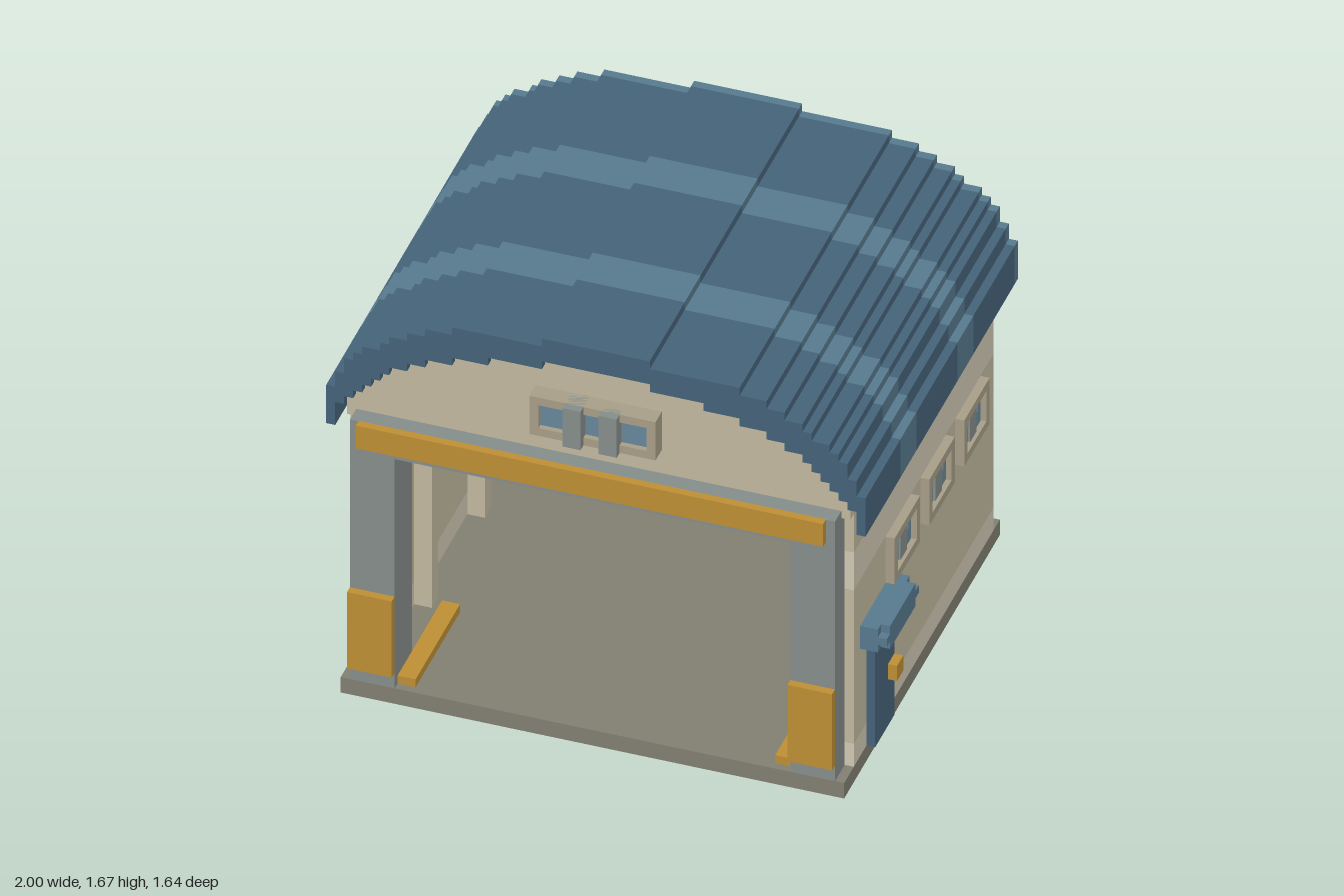
import * as THREE from 'three';

const V = 0.0328;      // size of one stair step
const CX = -0.0164;    // centre line of the building
const C = {
  roof: 0x45637a, roofLight: 0x577a8e, wall: 0xc3b9a0, wallLight: 0xd3cab6, orange: 0xbf8f35,
  steel: 0x868e8c, base: 0x828072, trim: 0xa89f88, glass: 0x67899c, glassLight: 0x86a5b0,
  wood: 0x966b42, dark: 0x43474a,
};
const mats = {};
const mat = (c) => (mats[c] ??= new THREE.MeshStandardMaterial({ color: C[c], flatShading: true }));

// Roof steps: [half width, underside, top], in steps
const STEPS = [
  [6, 48, 51], [12, 47, 50], [16, 46, 50], [19, 45, 49], [21, 44, 48], [23, 43, 47], [24, 42, 46],
  [25, 41, 45], [26, 40, 45], [27, 39, 44], [28, 38, 43], [29, 37, 41], [30, 34, 39],
];

// Stair line from the left eave to the right eave; k picks underside (1) or top (2)
function stairLine(k, maxHalf) {
  const right = [];
  let prev = 0;
  for (const s of STEPS) {
    if (prev >= maxHalf) break;
    const half = Math.min(s[0], maxHalf);
    if (prev > 0) right.push([prev, s[k]]);
    right.push([half, s[k]]);
    prev = half;
  }
  const left = right.map(([x, y]) => [-x, y]).reverse();
  return [...left, ...right].map(([x, y]) => new THREE.Vector2(CX + x * V, y * V));
}

function extrude(points, z0, z1) {
  const g = new THREE.ExtrudeGeometry(new THREE.Shape(points), { depth: z1 - z0, bevelEnabled: false });
  return g.translate(0, 0, z0);
}

// Wall end under the arch, from height y0 up to the underside of the roof
function gable(half, y0, z0, z1) {
  const top = stairLine(1, half);
  return extrude([...top, new THREE.Vector2(CX + half * V, y0), new THREE.Vector2(CX - half * V, y0)], z0, z1);
}

export function createModel() {
  const model = new THREE.Group();
  const add = (name, color, geo, parent = model) => {
    const m = new THREE.Mesh(geo, mat(color));
    m.name = name;
    parent.add(m);
    return m;
  };
  const box = (name, color, x0, x1, y0, y1, z0, z1, parent) => add(name, color,
    new THREE.BoxGeometry(x1 - x0, y1 - y0, z1 - z0)
      .translate((x0 + x1) / 2, (y0 + y1) / 2, (z0 + z1) / 2), parent);
  // Same box on both sides of the centre line; a and b are distances from it
  const pair = (name, color, a, b, ...rest) => {
    box(name + 'Left', color, CX + a, CX + b, ...rest);
    box(name + 'Right', color, CX - b, CX - a, ...rest);
  };
  const group = (name) => {
    const g = new THREE.Group();
    g.name = name;
    model.add(g);
    return g;
  };

  // Floor slab
  box('floorSlab', 'base', -0.935, 0.902, 0, 0.066, -0.82, 0.79);

  // Walls in coloured courses
  const courses = [[0.066, 0.164, 'wallLight'], [0.164, 0.823, 'wall'], [0.823, 0.985, 'wallLight']];
  for (const [y0, y1, c] of courses) {
    pair('sideWall', c, 25 * V, 28 * V, y0, y1, -0.755, 0.69);
    box('backWall', c, CX - 25 * V, CX + 25 * V, y0, y1, -0.82, -0.72);
  }
  pair('sideWallTop', 'wall', 25 * V, 28 * V, 0.985, 38 * V, -0.755, 0.69);
  add('backGable', 'wall', gable(25, 0.985, -0.82, -0.755));
  add('backGableInner', 'wall', gable(28, 0.985, -0.755, -0.72));
  add('frontGable', 'wall', gable(28, 1.15, 0.62, 0.725));
  for (const z of [0.25, -0.3]) pair('wallRib', 'wall', 0.755, 0.82, 0.066, 1.25, z, z + 0.06);

  // Arched roof, split into colour bands along z
  const outline = [...stairLine(2, 30), ...stairLine(1, 30).reverse()];
  const cuts = [-0.82, -0.787, -0.361, -0.197, 0.23, 0.394, 0.755];
  const roof = group('roof');
  for (let i = 0; i < cuts.length - 1; i++) {
    add('roofBand', i % 2 ? 'roof' : 'roofLight', extrude(outline, cuts[i], cuts[i + 1]), roof);
  }

  // Gateway
  pair('gatePost', 'steel', 0.722, 0.885, 0.066, 1.18, 0.61, 0.79);
  box('gateLintel', 'steel', CX - 0.722, CX + 0.722, 1.05, 1.18, 0.61, 0.79);
  box('gateStripe', 'orange', -0.87, 0.836, 1.085, 1.182, 0.79, 0.82);
  pair('postGuard', 'orange', 0.722, 0.885, 0.133, 0.46, 0.79, 0.82);
  pair('floorRail', 'orange', 0.656, 0.722, 0.066, 0.1, 0.3, 0.76);

  // Frame with a hole, built facing +z around the origin
  const frameGeo = (w, h, border, depth) => {
    const rect = (T, a, b) => new T([[-a, -b], [a, -b], [a, b], [-a, b]].map((p) => new THREE.Vector2(...p)));
    const s = rect(THREE.Shape, w / 2, h / 2);
    s.holes.push(rect(THREE.Path, w / 2 - border, h / 2 - border));
    return new THREE.ExtrudeGeometry(s, { depth, bevelEnabled: false });
  };

  // Front window
  const fw = group('frontWindow');
  fw.position.set(CX, 1.362, 0.725);
  add('frame', 'trim', frameGeo(0.46, 0.164, 0.033, 0.065), fw);
  box('pane', 'glass', -0.2, 0.2, -0.05, 0.05, 0, 0.045, fw);
  for (const x of [-0.066, 0.066]) box('mullion', 'steel', x - 0.033, x + 0.033, -0.082, 0.082, 0, 0.095, fw);

  // Windows along the left wall
  for (const z of [0.23, -0.13, -0.49]) {
    const w = group('sideWindow');
    w.position.set(0.902, 0.724, z);
    w.rotation.y = Math.PI / 2;
    add('frame', 'trim', frameGeo(0.262, 0.197, 0.033, 0.033), w);
    box('pane', 'glass', -0.098, 0.098, -0.066, 0.066, 0, 0.012, w);
    box('mullion', 'steel', -0.033, 0.033, -0.066, 0.066, 0, 0.02, w);
    box('glint', 'glassLight', -0.098, -0.066, 0, 0.033, 0, 0.014, w);
    box('glint', 'glassLight', -0.066, -0.033, 0, 0.066, 0, 0.014, w);
    box('glint', 'glassLight', 0.033, 0.066, 0, 0.066, 0, 0.014, w);
  }

  // Side door with canopy and handle
  box('sideDoor', 'roof', 0.9, 0.934, 0.066, 0.53, 0.362, 0.56);
  box('doorHandle', 'orange', 0.934, 0.967, 0.265, 0.33, 0.362, 0.427);
  const canopy = group('doorCanopy');
  box('canopyBody', 'roofLight', 0.9, 0.967, 0.527, 0.625, 0.296, 0.625, canopy);
  box('canopyFront', 'roofLight', 0.967, 1, 0.527, 0.625, 0.33, 0.592, canopy);
  box('canopyLip', 'roofLight', 0.967, 1, 0.56, 0.592, 0.296, 0.625, canopy);

  // Workbench
  const bench = group('workbench');
  box('benchTop', 'wood', -0.71, -0.12, 0.362, 0.46, -0.72, -0.43, bench);
  box('benchLeg', 'dark', -0.675, -0.577, 0.066, 0.362, -0.7, -0.47, bench);
  box('benchLeg', 'dark', -0.216, -0.15, 0.066, 0.362, -0.7, -0.47, bench);
  box('toolBox', 'steel', -0.675, -0.48, 0.46, 0.56, -0.67, -0.5, bench);

  // Stacked crates
  box('lowerCrate', 'orange', 0.05, 0.275, 0.066, 0.3, -0.7, -0.47);
  box('upperCrate', 'wall', 0.11, 0.31, 0.3, 0.53, -0.7, -0.5);

  // Cabinet
  const cab = group('cabinet');
  box('cabinetBody', 'roof', 0.345, 0.67, 0.066, 0.395, -0.7, -0.45, cab);
  box('cabinetTop', 'roof', 0.378, 0.637, 0.395, 0.43, -0.68, -0.47, cab);
  box('drawer', 'steel', 0.41, 0.605, 0.262, 0.327, -0.45, -0.42, cab);
  box('drawer', 'steel', 0.41, 0.605, 0.165, 0.198, -0.45, -0.42, cab);

  return model;
}
